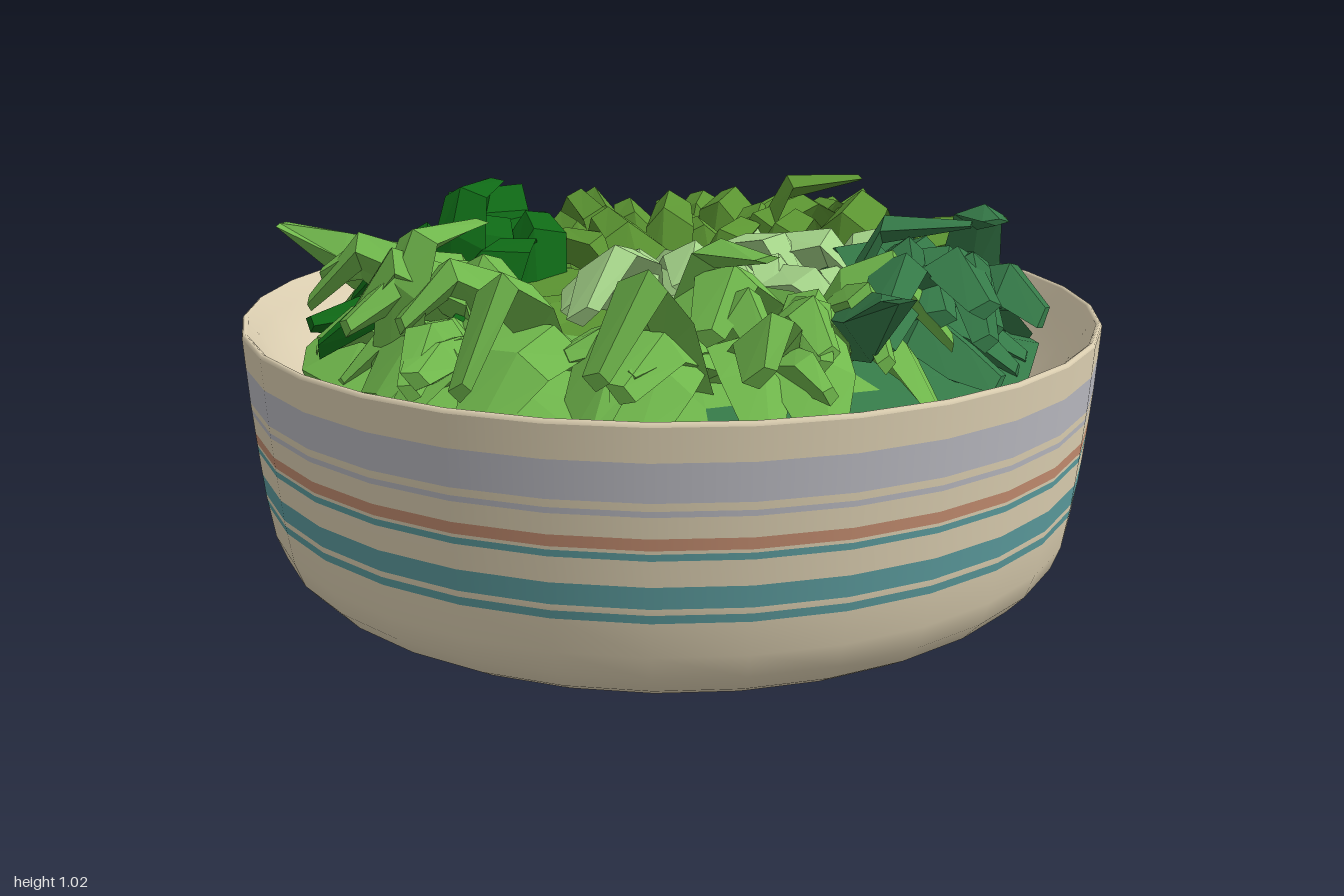
import * as THREE from 'three';

const CREAM = 0xddd0b2, LILAC = 0xb9b9c0, TEAL = 0x5c9c9e, ORANGE = 0xc48d70;
const PALE = 0xa6d68a, LIGHT = 0x70b84c, OLIVE = 0x5c9632, DARK = 0x0f6a16, PINE = 0x357a48;

// Small seeded generator
let seed = 7;
const rnd = (a = 0, b = 1) => {
  seed = (seed * 16807) % 2147483647;
  return a + (b - a) * seed / 2147483647;
};

const leafMaterials = {};
const leafMaterial = (color) => leafMaterials[color] ??= new THREE.MeshStandardMaterial({
  color, flatShading: true, side: THREE.DoubleSide });

function meshFrom(points, index, color, name) {
  const geo = new THREE.BufferGeometry();
  geo.setAttribute('position', new THREE.Float32BufferAttribute(points, 3));
  geo.setIndex(index);
  const flat = geo.toNonIndexed();
  flat.computeVertexNormals();
  const mesh = new THREE.Mesh(flat, leafMaterial(color));
  mesh.name = name;
  return mesh;
}

// Outer wall: [radius, height]
const WALL = [[0.9, 0.2], [0.94, 0.245], [0.96, 0.3], [0.975, 0.4], [0.984, 0.5], [0.993, 0.62], [0.997, 0.7], [1, 0.768]];
function wallRadius(y) {
  const i = Math.max(1, WALL.findIndex((p) => p[1] >= y));
  const [r0, y0] = WALL[i - 1], [r1, y1] = WALL[i];
  return r0 + (r1 - r0) * (y - y0) / (y1 - y0);
}

function lathe(points, color, name) {
  const geo = new THREE.LatheGeometry(points.map(([r, y]) => new THREE.Vector2(r, y)), 32);
  const mesh = new THREE.Mesh(geo, new THREE.MeshStandardMaterial({ color }));
  mesh.name = name;
  return mesh;
}

function createBowl() {
  const bowl = new THREE.Group();
  bowl.name = 'bowl';
  // Underside with shallow foot
  bowl.add(lathe([[0, 0.01], [0.08, 0.007], [0.13, 0], [0.17, 0.004], [0.24, 0.021], [0.32, 0.034], [0.45, 0.054],
    [0.6, 0.086], [0.78, 0.142], [0.86, 0.175], ...WALL.slice(0, 3), [wallRadius(0.375), 0.375]], CREAM, 'bowlBase'));
  // Painted bands up the wall: [top height, color]
  const bands = [[0.393, TEAL], [0.406, CREAM], [0.452, TEAL], [0.506, CREAM], [0.52, TEAL], [0.527, CREAM],
    [0.551, ORANGE], [0.594, CREAM], [0.606, LILAC], [0.622, CREAM], [0.7, LILAC], [0.768, CREAM]];
  let y = 0.375;
  for (const [top, color] of bands) {
    const mid = (y + top) / 2;
    bowl.add(lathe([y, mid, top].map((h) => [wallRadius(h), h]), color, color === CREAM ? 'bowlWall' : 'paintedStripe'));
    y = top;
  }
  // Rounded rim running smoothly into the sloping inside
  bowl.add(lathe([[1, 0.768], [0.998, 0.774], [0.993, 0.777], [0.986, 0.772], [0.966, 0.735], [0.93, 0.677],
    [0.87, 0.6], [0.78, 0.5], [0.6, 0.38], [0.3, 0.28], [0, 0.25]], CREAM, 'bowlInside'));
  return bowl;
}

// Faceted bed of large leaves, coloured by sector
function createBed() {
  const bed = new THREE.Group();
  bed.name = 'leafBed';
  const rings = [[0.82, 0.5], [0.87, 0.69], [0.74, 0.735], [0.45, 0.79], [0, 0.82]], N = 24;
  const points = [];
  for (const [r, h] of rings) {
    for (let i = 0; i < N; i++) {
      const a = i / N * Math.PI * 2, rr = r * rnd(0.97, 1.01);
      points.push(rr * Math.cos(a), h + (r ? rnd(-0.02, 0.02) : 0), rr * Math.sin(a));
    }
  }
  const colorAt = (deg, ring) => {
    if (ring < 2 && (deg < 110 || deg > 320)) return PINE;
    if (ring < 3 && deg > 265 && deg < 290) return PINE;
    if (ring < 3 && deg > 15 && deg < 75) return PINE;
    return ring === 3 || deg > 265 || deg < 30 ? OLIVE : LIGHT;
  };
  const faces = {};
  for (let j = 0; j < rings.length - 1; j++) {
    for (let i = 0; i < N; i++) {
      const a = j * N + i, b = j * N + (i + 1) % N, c = b + N, d = a + N;
      (faces[colorAt((i + 0.5) * 360 / N, j)] ??= []).push(a, d, c, a, c, b);
    }
  }
  for (const color in faces) bed.add(meshFrom(points, faces[color], Number(color), 'bedLeaves'));
  return bed;
}

// Folded strip of leaf; stations are [along, up, half width, thickness]
function leaf(color, x, y, z, deg, stations, twist = 0) {
  const a = deg * Math.PI / 180, c = Math.cos(a), s = Math.sin(a);
  const points = [], index = [];
  stations.forEach(([u, h, w, t], k) => {
    const side = twist * k / 3;
    for (const [v, up] of [[-w, 0], [-w * 0.25, t * 0.4], [w, 0], [0, -t * 0.6]]) {
      const off = v + side;
      points.push(x + c * u - s * off, y + h + up + v * twist * 6, z + s * u + c * off);
    }
    if (k) {
      for (let q = 0; q < 4; q++) {
        const p = (k - 1) * 4 + q, r = (k - 1) * 4 + (q + 1) % 4;
        index.push(p, p + 4, r + 4, p, r + 4, r);
      }
    }
  });
  const e = (stations.length - 1) * 4;
  index.push(0, 1, 2, 0, 2, 3, e, e + 2, e + 1, e, e + 3, e + 2);
  return meshFrom(points, index, color, 'leafPiece');
}

// Heap of crumpled pieces in an ellipse, fanning out from a focus point
function clump(name, color, count, cx, cz, rx, rz, fx, fz, size = 1, top = 0.97) {
  const group = new THREE.Group();
  group.name = name;
  for (let i = 0; i < count; i++) {
    const t = i * 2.39996, q = Math.sqrt((i + 0.5) / count);
    const L = size * rnd(0.2, 0.36), w = size * rnd(0.04, 0.075);
    let x = cx + rx * q * Math.cos(t), z = cz + rz * q * Math.sin(t);
    // Keep the piece inside the edge of the bed
    const shrink = Math.min(1, (0.85 - L / 2) / Math.hypot(x, z));
    x *= shrink;
    z *= shrink;
    const a = Math.atan2(z - fz, x - fx) + rnd(-0.6, 0.6);
    const base = 0.8 - 0.12 * (x * x + z * z);
    const h = (top - base) * rnd(0.25, 1);
    group.add(leaf(color, x - Math.cos(a) * L / 2, base, z - Math.sin(a) * L / 2, a * 180 / Math.PI,
      [[0, -0.05, w * 1.1, 0.1], [L * rnd(0.15, 0.35), h * 0.7, w * 1.2, 0.13],
        [L * rnd(0.5, 0.7), h, w * 0.9, 0.09], [L, h * rnd(0.1, 0.8), w * 0.5, 0.04]],
      rnd(-0.09, 0.09)));
  }
  return group;
}

// Low broad leaves spilling down to the edge of the bed
function createEdgeLeaves() {
  const group = new THREE.Group();
  group.name = 'edgeLeaves';
  for (let deg = 0; deg < 360; deg += 12) {
    const color = deg < 72 || deg > 325 ? PINE : deg < 220 ? LIGHT : deg < 255 ? DARK : OLIVE;
    const a = deg * Math.PI / 180, r = rnd(0.5, 0.58), L = 0.84 - r, w = rnd(0.05, 0.09);
    group.add(leaf(color, r * Math.cos(a), 0.74, r * Math.sin(a), deg + rnd(-15, 15),
      [[0, 0, w, 0.1], [L * 0.35, rnd(0.04, 0.1), w * 1.2, 0.1], [L * 0.7, rnd(0, 0.06), w * 1.1, 0.08], [L, -0.04, w * 0.6, 0.03]],
      rnd(-0.07, 0.07)));
  }
  return group;
}

export function createModel() {
  seed = 7;
  const model = new THREE.Group();
  model.name = 'saladBowl';
  model.add(createBowl(), createBed());

  const salad = new THREE.Group();
  salad.name = 'salad';
  salad.add(
    createEdgeLeaves(),
    clump('darkLeaves', DARK, 8, -0.34, -0.5, 0.15, 0.24, -0.45, 0.6, 1.15),
    clump('darkSideLeaves', DARK, 5, -0.62, 0.0, 0.2, 0.26, -0.2, 0, 0.9, 0.88),
    clump('oliveBackLeaves', OLIVE, 17, 0.16, -0.42, 0.34, 0.22, 0.1, -0.1),
    clump('oliveSideLeaves', OLIVE, 14, 0.52, -0.25, 0.2, 0.32, 0.1, 0),
    clump('lightSideLeaves', LIGHT, 15, -0.62, 0.14, 0.16, 0.42, -0.1, 0),
    clump('lightFrontLeaves', LIGHT, 15, -0.06, 0.6, 0.32, 0.16, 0, 0.3),
    clump('pineLeaves', PINE, 15, 0.48, 0.46, 0.22, 0.32, 0.5, -0.8, 1.15, 0.95),
    clump('paleLeaves', PALE, 14, 0.06, 0.2, 0.42, 0.13, 0.05, -0.5, 1.1, 0.95),
    clump('paleTuft', PALE, 3, 0.28, -0.16, 0.07, 0.07, 0.2, 0, 0.6, 0.92));

  // Long pieces reaching over the edge: [color, tip x, tip z, tip y, heading]
  const long = [[DARK, -0.31, -0.87, 0.93, -84], [LIGHT, -0.86, -0.38, 0.95, 208],
    [PINE, 0.11, 0.92, 0.96, 102], [OLIVE, 0.88, 0.04, 0.935, 8]];
  for (const [color, x, z, y, deg] of long) {
    const a = deg * Math.PI / 180, L = 0.45;
    salad.add(leaf(color, x - L * Math.cos(a), 0.75, z - L * Math.sin(a), deg,
      [[0, 0, 0.05, 0.1], [0.12, 0.1, 0.06, 0.15], [0.28, 0.13, 0.06, 0.14], [L, y - 0.75, 0.035, 0.01]]));
  }

  // Tall flat-topped pieces: [color, x, z, heading]
  const tall = [[LIGHT, -0.72, 0.28, -35], [DARK, -0.47, -0.25, -55], [PINE, 0.27, 0.36, 35],
    [PINE, 0.66, 0.25, 110], [OLIVE, 0.32, -0.25, 10], [LIGHT, -0.12, 0.45, 80]];
  for (const [color, x, z, deg] of tall) {
    salad.add(leaf(color, x, 0.72, z, deg,
      [[0, -0.06, 0.08, 0.08], [0.03, 0.16, 0.07, 0.1], [0.09, 0.28, 0.055, 0.06], [0.28, 0.295, 0.03, 0.015]]));
  }
  model.add(salad);
  return model;
}
